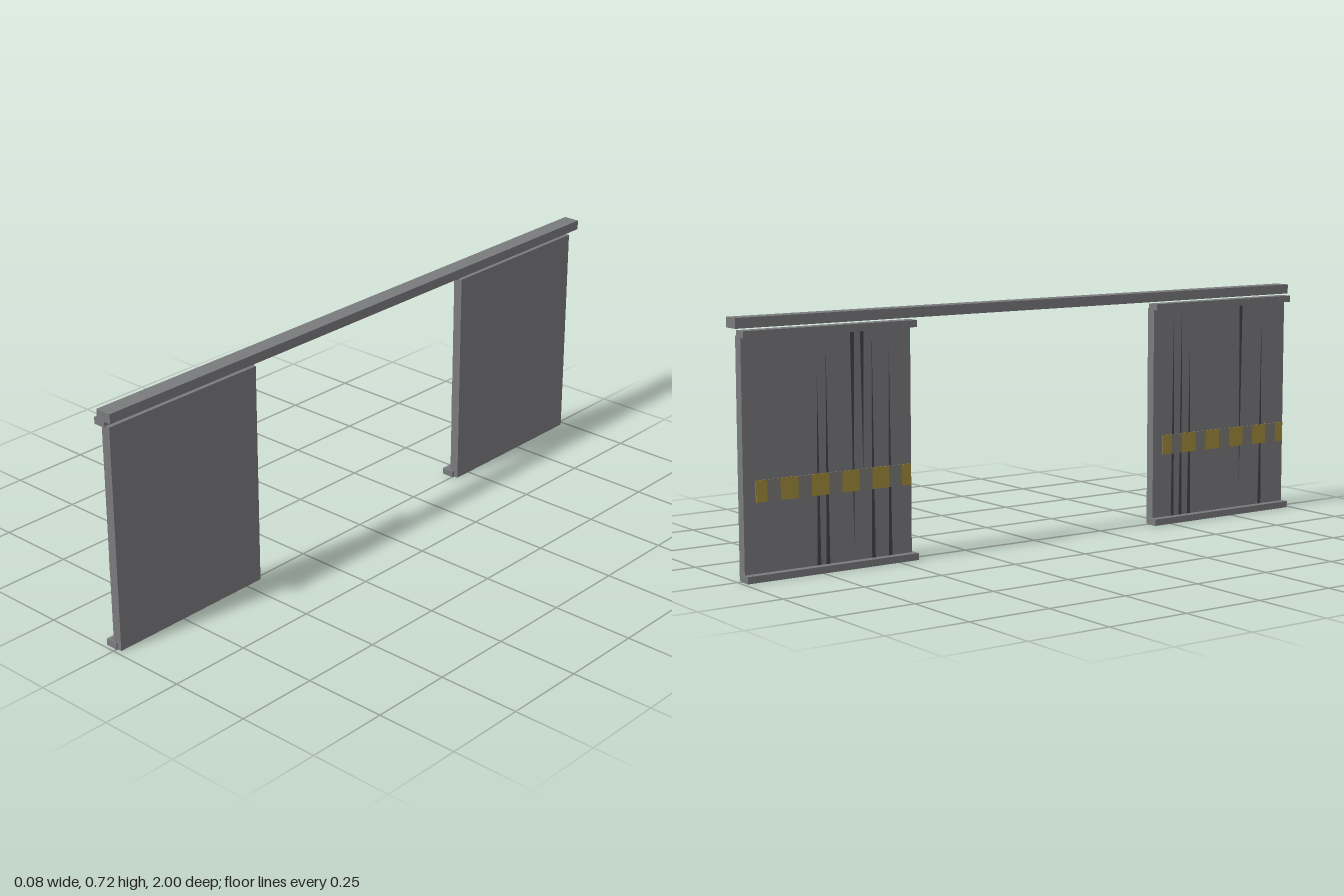
import * as THREE from 'three';

const paint = (name, color) => {
  const m = new THREE.MeshStandardMaterial({ color });
  m.name = name;
  return m;
};

export function createModel() {
  const model = new THREE.Group();
  model.name = 'slidingDoors';
  const steel = paint('steelGrey', 0x7a7b7d);
  const yellow = paint('hazardYellow', 0xa48c3e);
  const bandGrey = paint('bandGrey', 0x7d7b76);
  const dark = paint('streakDark', 0x434446);

  // Box given by its minimum and maximum corners
  const box = (parent, name, mat, [x0, y0, z0], [x1, y1, z1]) => {
    const mesh = new THREE.Mesh(new THREE.BoxGeometry(x1 - x0, y1 - y0, z1 - z0), mat);
    mesh.position.set((x0 + x1) / 2, (y0 + y1) / 2, (z0 + z1) / 2);
    mesh.name = name;
    parent.add(mesh);
  };

  const faceX = -0.014;

  // Thin tapered streak on the -x face, running from its wide end to its tip
  const streak = (parent, z, wideY, tipY) => {
    const w = 0.006;
    const shape = new THREE.Shape([
      new THREE.Vector2(-w, wideY), new THREE.Vector2(w, wideY), new THREE.Vector2(0, tipY),
    ]);
    const mesh = new THREE.Mesh(new THREE.ExtrudeGeometry(shape, { depth: 0.001, bevelEnabled: false }), dark);
    mesh.rotation.y = -Math.PI / 2;
    mesh.position.set(faceX, 0, z);
    mesh.name = 'streak';
    parent.add(mesh);
  };

  // Overhead track
  box(model, 'overheadTrack', steel, [-0.014, 0.694, -1], [0.037, 0.723, 1]);

  // Each door: start in z, rail start in z, streaks as [z offset, wide end, tip]
  const doors = [
    ['rearDoor', -0.985, -0.989, [
      [0.234, 0.012, 0.55], [0.263, 0.01, 0.62], [0.348, 0.665, 0.045],
      [0.38, 0.665, 0.28], [0.412, 0.01, 0.645], [0.468, 0.01, 0.61],
    ]],
    ['frontDoor', 0.445, 0.437, [
      [0.079, 0.01, 0.64], [0.111, 0.01, 0.66], [0.145, 0.012, 0.56],
      [0.355, 0.665, 0.1], [0.443, 0.01, 0.61],
    ]],
  ];

  for (const [name, z, railZ, streaks] of doors) {
    const door = new THREE.Group();
    door.name = name;
    model.add(door);

    box(door, 'panel', steel, [faceX, 0, z], [0.015, 0.673, z + 0.54]);
    for (const [rail, y] of [['bottomRail', 0], ['topRail', 0.669]]) {
      box(door, rail, steel, [-0.038, y, railZ], [0.001, y + 0.02, railZ + 0.552]);
    }
    for (const [dz, wideY, tipY] of streaks) streak(door, z + dz, wideY, tipY);

    // Warning band of alternating yellow and grey plates
    const start = z + 0.038, end = z + 0.538;
    let a = start, width = 0.034;
    for (let i = 0; a < end - 0.001; i++) {
      const b = Math.min(a + width, end);
      box(door, i % 2 ? 'greyStripe' : 'yellowStripe', i % 2 ? bandGrey : yellow,
        [faceX - 0.003, 0.217, a], [faceX, 0.278, b]);
      a = b;
      width = i % 2 ? 0.056 : 0.042;
    }
  }
  return model;
}
